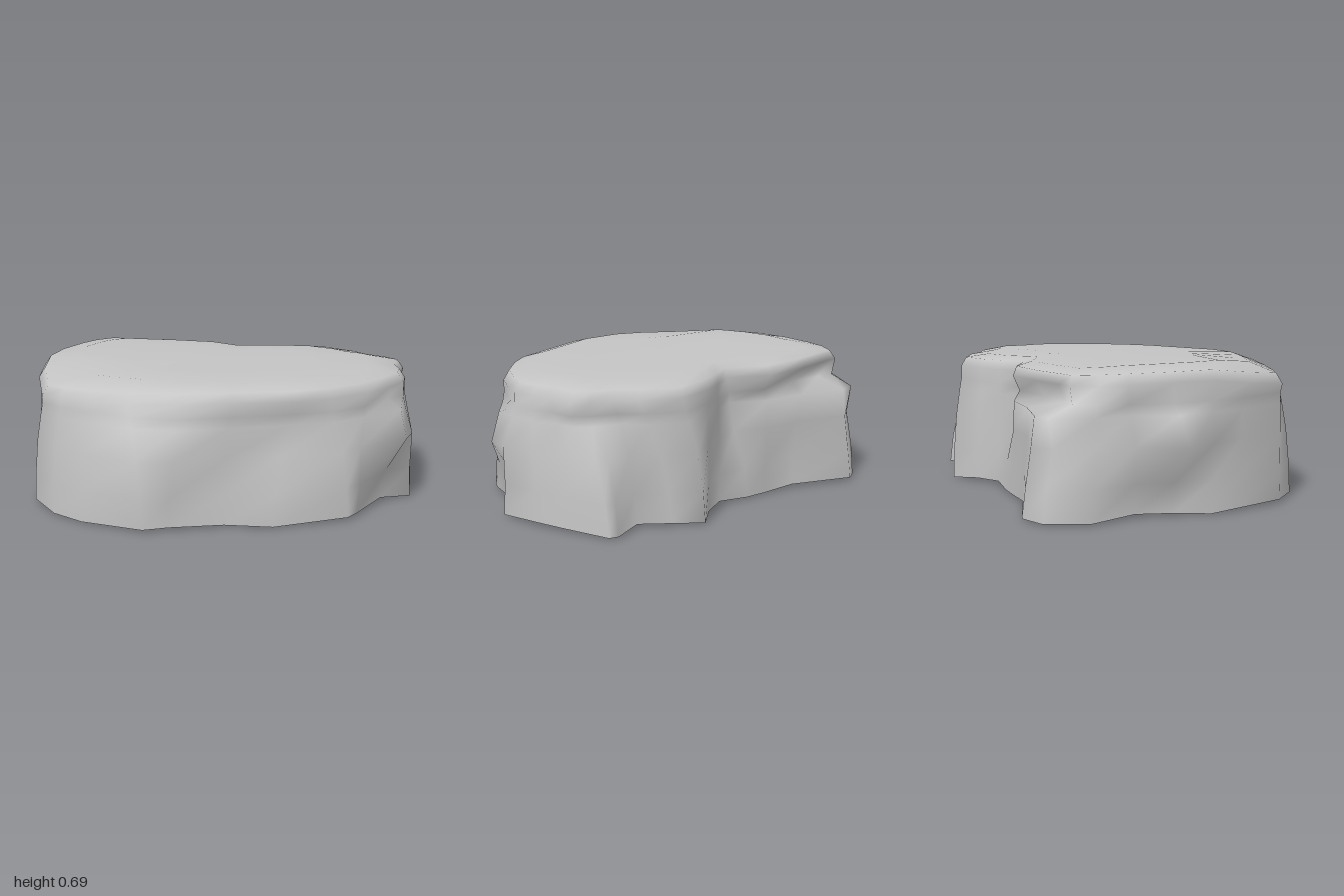
import * as THREE from 'three';

// Outline points [x, z], running from the front round by +x to the back.
const foot = [
  [-.27, .8], [-.15, .77], [.1, .68], [.33, .67], [.68, .52], [.72, .46], [.84, .17], [.99, .12],
  [1, -.1], [.98, -.25], [.93, -.49], [.9, -.52], [.73, -.48], [.6, -.58], [.48, -.68], [.35, -.6],
  [.2, -.55], [.03, -.59], [-.1, -.61], [-.28, -.65], [-.59, -.81], [-.7, -.76], [-.82, -.58], [-.79, -.34],
  [-.84, -.16], [-.91, 0], [-.91, .15], [-.88, .42], [-.74, .6], [-.58, .7],
];
const rim = [
  [-.36, .68], [-.1, .72], [.12, .66], [.43, .58], [.58, .49], [.75, .35], [.86, .2], [.93, .08],
  [.94, -.04], [.92, -.14], [.94, -.28], [.88, -.34], [.78, -.39], [.71, -.48], [.54, -.59], [.33, -.57],
  [.2, -.53], [.06, -.48], [-.12, -.61], [-.4, -.63], [-.6, -.62], [-.7, -.62], [-.78, -.52], [-.83, -.4],
  [-.89, -.2], [-.91, 0], [-.89, .2], [-.8, .48], [-.7, .54], [-.55, .61],
];

// Rings up the side: height, blend from foot to rim, scale.
const levels = [
  [.015, 0, 1], [.16, .1, 1], [.34, .35, 1], [.48, .7, 1], [.53, .85, 1], [.61, 1, 1.01], [.655, 1, .975],
];

// Local bulges and hollows: level, column, dx, dz.
const bumps = [
  [2, 24, -.14, 0], [2, 25, -.02, 0], [3, 24, -.06, 0], [2, 23, -.03, 0],  // knob on the -x side
  [1, 0, 0, .02], [2, 0, 0, .03], [2, 1, 0, .03], [3, 0, 0, .02],          // front belly
  [2, 3, 0, -.04], [3, 3, 0, -.04], [3, 4, 0, -.01], [4, 3, 0, -.03],      // hollow right of the belly
  [1, 5, .01, -.02], [1, 6, .02, .01], [2, 6, .11, .05], [3, 6, .07, .02], // overhang above the undercut
  [2, 7, .02, .01], [2, 8, .01, 0], [3, 9, -.02, 0], [3, 10, -.01, .06], [4, 10, 0, .03],
  [3, 11, -.02, .05], [4, 11, 0, .03], [3, 12, -.02, .02],                 // hollow above the back foot
  [3, 19, .02, -.02], [3, 20, 0, -.07], [3, 21, 0, -.07], [2, 20, 0, -.02], // ledge on the back spur
  [4, 18, 0, .03], [4, 19, 0, .06], [4, 20, 0, .06], [4, 21, 0, .03],      // groove above the ledge
  [2, 17, .01, .03], [3, 17, 0, .02],
];

// The top sinks towards the front and the front -x corner.
const droop = (x, z) => .018 * x + .02 * z * z + .13 * Math.max(0, z - x - .9);
const topHeight = (x, z) => .68 - droop(x, z) - .04 * Math.max(0, -z - .3);

function ringPoints(level) {
  const [y, f, s] = levels[level];
  return foot.map(([x, z], i) => {
    let px = (x + (rim[i][0] - x) * f) * s, pz = (z + (rim[i][1] - z) * f) * s;
    for (const [l, c, dx, dz] of bumps) if (l === level && c === i) { px += dx; pz += dz; }
    const lift = level > 4 ? -droop(px, pz) : level ? 0 : .007 * Math.sin(i * 1.7);
    return [px, y + lift, pz];
  });
}

// Smooth surface through a stack of rings, closed by a centre point.
function loft(rings, centre) {
  const n = foot.length, index = [];
  for (let r = 0; r < rings.length - 1; r++) {
    for (let i = 0; i < n; i++) {
      const a = r * n + i, b = r * n + (i + 1) % n;
      index.push(a, b, b + n, a, b + n, a + n);
    }
  }
  const last = (rings.length - 1) * n;
  for (let i = 0; i < n; i++) index.push(last + i, last + (i + 1) % n, rings.length * n);
  const geometry = new THREE.BufferGeometry();
  geometry.setAttribute('position', new THREE.Float32BufferAttribute([...rings.flat(2), ...centre], 3));
  geometry.setIndex(index);
  geometry.computeVertexNormals();
  return geometry;
}

export function createModel() {
  const group = new THREE.Group();
  group.name = 'rock';
  const stone = new THREE.MeshStandardMaterial({ color: 0xc4c4c4 });
  stone.name = 'grey stone';

  // Sides and gently domed top
  const rings = levels.map((_, i) => ringPoints(i));
  const inner = (k) => rim.map(([x, z]) => [x * k, topHeight(x * k, z * k), z * k]);
  const body = new THREE.Mesh(loft([...rings, inner(.82), inner(.5)], [0, .682, 0]), stone);
  body.name = 'rockBody';
  group.add(body);

  // Flat underside, with a sharp edge to the sides
  const under = [...rings[0]].reverse();
  const base = new THREE.Mesh(loft([under], [0, .005, 0]), stone);
  base.name = 'underside';
  group.add(base);
  return group;
}
